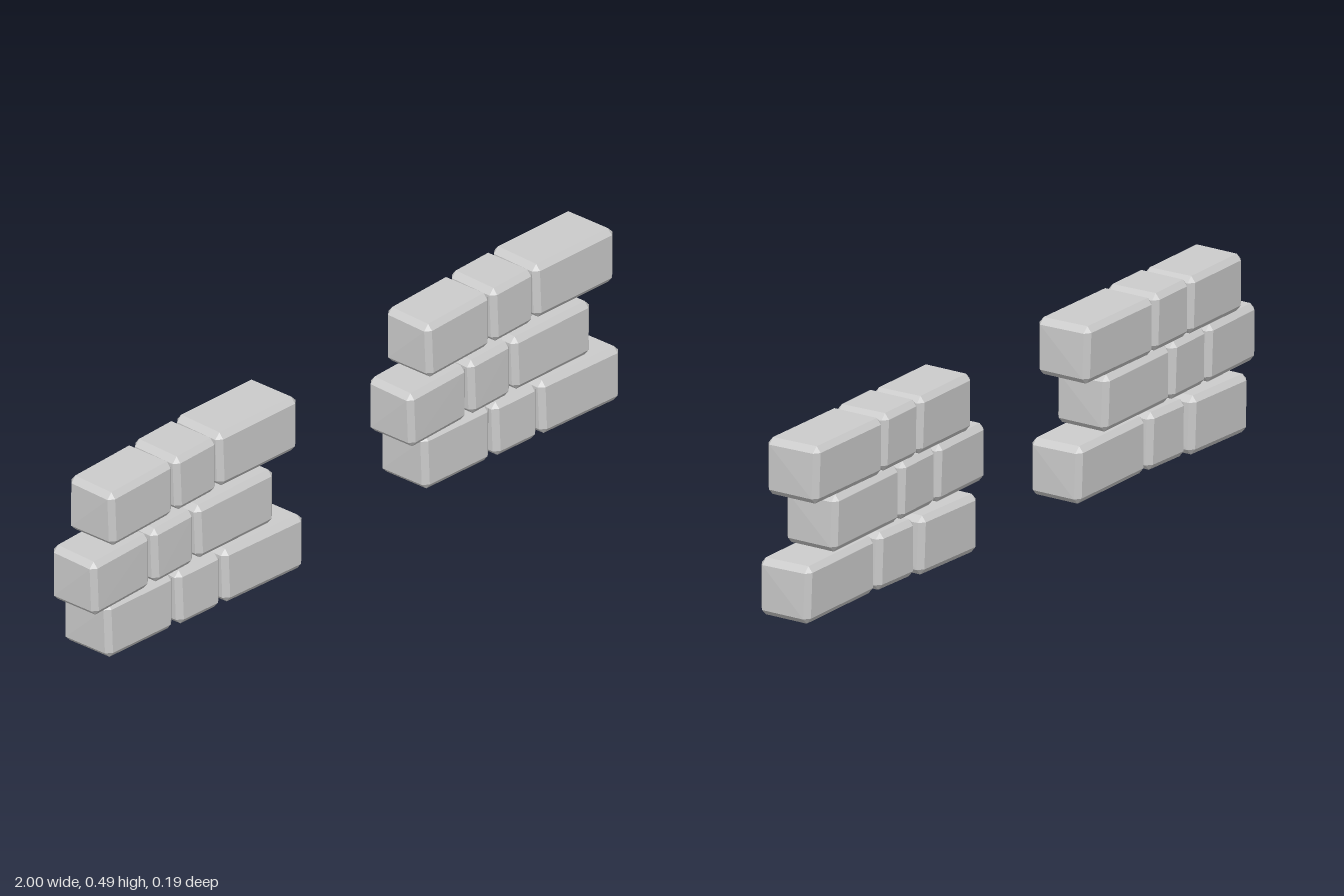
import * as THREE from 'three';
import { ConvexGeometry } from 'three/addons/geometries/ConvexGeometry.js';

const stone = new THREE.MeshStandardMaterial({ color: 0xcccccc, flatShading: true });

// Box with chamfered edges and corners; roll and yaw shear it slightly along its length
function brickGeometry(w, h, d, roll, yaw) {
  const b = 0.016;
  const points = [];
  for (const sx of [-1, 1]) for (const sy of [-1, 1]) for (const sz of [-1, 1]) {
    // three points per corner, one on each neighbouring face
    for (let face = 0; face < 3; face++) {
      const p = new THREE.Vector3(
        sx * (w / 2 - (face === 0 ? 0 : b)),
        sy * (h / 2 - (face === 1 ? 0 : b)),
        sz * (d / 2 - (face === 2 ? 0 : b * 0.8))
      );
      const t = p.x / w;
      p.x += sx * sy * sz * 0.0015;
      p.z -= p.y * 0.02;
      p.y += t * roll;
      p.z += t * yaw;
      points.push(p);
    }
  }
  return new ConvexGeometry(points);
}

// Each brick: x0, x1, y0, y1, z0, z1, roll, yaw
const rows = {
  bottomRow: [
    [0.275, 0.522, 0.012, 0.170, -0.086, 0.073, -0.003, 0.006],
    [0.527, 0.687, 0.012, 0.167, -0.070, 0.086, -0.002, 0.004],
    [0.694, 0.992, 0.006, 0.160, -0.063, 0.093, -0.011, 0.003]
  ],
  middleRow: [
    [0.195, 0.422, 0.177, 0.332, -0.061, 0.091, -0.003, -0.009],
    [0.428, 0.590, 0.177, 0.332, -0.068, 0.088, -0.003, -0.006],
    [0.597, 0.893, 0.174, 0.327, -0.074, 0.085, -0.008, -0.003]
  ],
  topRow: [
    [0.282, 0.528, 0.338, 0.492, -0.080, 0.073, -0.002, -0.008],
    [0.533, 0.694, 0.338, 0.492, -0.088, 0.070, -0.002, -0.005],
    [0.702, 1.000, 0.334, 0.488, -0.094, 0.066, -0.006, 0.002]
  ]
};

// One staggered patch of three courses
function brickPatch(name, offsetX) {
  const patch = new THREE.Group();
  patch.name = name;
  for (const [rowName, bricks] of Object.entries(rows)) {
    const row = new THREE.Group();
    row.name = rowName;
    bricks.forEach(([x0, x1, y0, y1, z0, z1, roll, yaw], i) => {
      const brick = new THREE.Mesh(brickGeometry(x1 - x0, y1 - y0, z1 - z0, roll, yaw), stone);
      brick.name = ['rightBrick', 'middleBrick', 'leftBrick'][i];
      brick.position.set((x0 + x1) / 2, (y0 + y1) / 2, (z0 + z1) / 2);
      row.add(brick);
    });
    patch.add(row);
  }
  patch.position.x = offsetX;
  return patch;
}

export function createModel() {
  const model = new THREE.Group();
  model.name = 'brickPatches';
  model.add(brickPatch('leftPatch', 0), brickPatch('rightPatch', -1.195));
  return model;
}
